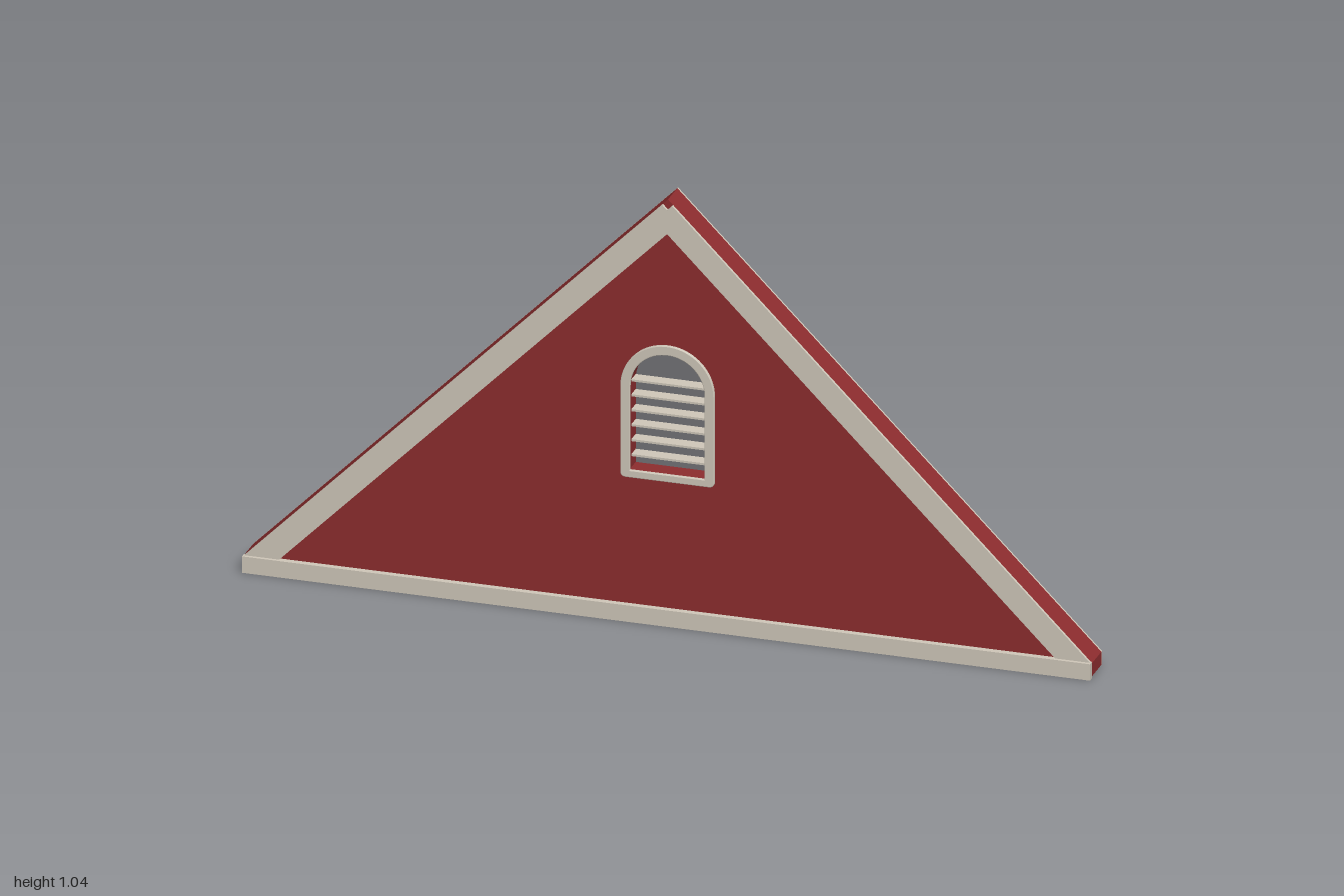
import * as THREE from 'three';

const mat = (name, color) => {
  const m = new THREE.MeshStandardMaterial({ color });
  m.name = name;
  return m;
};

// Polygon as a shape
const poly = (pts) => new THREE.Shape(pts.map(([x, y]) => new THREE.Vector2(x, y)));

// Round-topped opening: half width r, sill at y0, arch centre at yc, bottom corner radius c
function arch(Type, r, y0, yc, c = 0) {
  const s = new Type();
  s.moveTo(-r + c, y0);
  s.lineTo(r - c, y0);
  if (c) s.quadraticCurveTo(r, y0, r, y0 + c);
  s.lineTo(r, yc);
  s.absarc(0, yc, r, 0, Math.PI, false);
  s.lineTo(-r, y0 + c);
  if (c) s.quadraticCurveTo(-r, y0, -r + c, y0);
  return s;
}

// Extrude a shape between two depths
function slab(shape, z0, z1, bevel = 0) {
  const g = new THREE.ExtrudeGeometry(shape, {
    depth: z1 - z0 - bevel, curveSegments: 20, bevelEnabled: bevel > 0,
    bevelThickness: bevel, bevelSize: bevel, bevelOffset: -bevel, bevelSegments: 2,
  });
  g.translate(0, 0, z0);
  return g;
}

export function createModel() {
  const group = new THREE.Group();
  const red = mat('barn red', 0x8e2d2f);
  const cream = mat('cream trim', 0xd1c9bb);
  const grey = mat('grey panel', 0x737377);

  const add = (name, geometry, material) => {
    const mesh = new THREE.Mesh(geometry, material);
    mesh.name = name;
    group.add(mesh);
    return mesh;
  };

  const archY = 0.57, sillY = 0.367, openR = 0.09;
  const gable = () => {
    const s = poly([[-1, 0.005], [1, 0.005], [1, 0.037], [0, 1.037], [-1, 0.037]]);
    s.holes.push(arch(THREE.Path, openR, sillY, archY));
    return s;
  };

  // Gable wall and its pale backing sheet
  add('gableWall', slab(gable(), -0.038, 0.03), red);
  add('backSheet', slab(gable(), -0.043, -0.038), cream);

  // Sloping rake boards, square-cut at the peak
  for (const s of [1, -1]) {
    const pts = [[0, 0.955], [0.915, 0.04], [0.997, 0.04], [0.012, 1.025], [0, 1.013]];
    const shape = poly(pts.map(([x, y]) => [s * x, y]));
    add(s > 0 ? 'leftRakeBoard' : 'rightRakeBoard', slab(shape, 0.03, 0.037), cream);
  }

  // Base trim board
  const base = add('baseBoard', new THREE.BoxGeometry(2, 0.04, 0.015), cream);
  base.position.set(0, 0.02, 0.0375);

  // Arched vent frame
  const frame = arch(THREE.Shape, 0.111, 0.349, archY, 0.014);
  frame.holes.push(arch(THREE.Path, openR - 0.002, sillY, archY));
  add('ventFrame', slab(frame, 0.03, 0.037, 0.002), cream);

  // Panel closing the vent
  add('ventPanel', slab(arch(THREE.Shape, openR, sillY, archY), -0.018, -0.013), grey);

  // Louvre slats
  for (let i = 0; i < 6; i++) {
    const slat = add('louvreSlat' + (i + 1), new THREE.BoxGeometry(0.178, 0.005, 0.032), cream);
    slat.position.set(0, 0.398 + i * 0.0365, 0.006);
  }
  return group;
}
